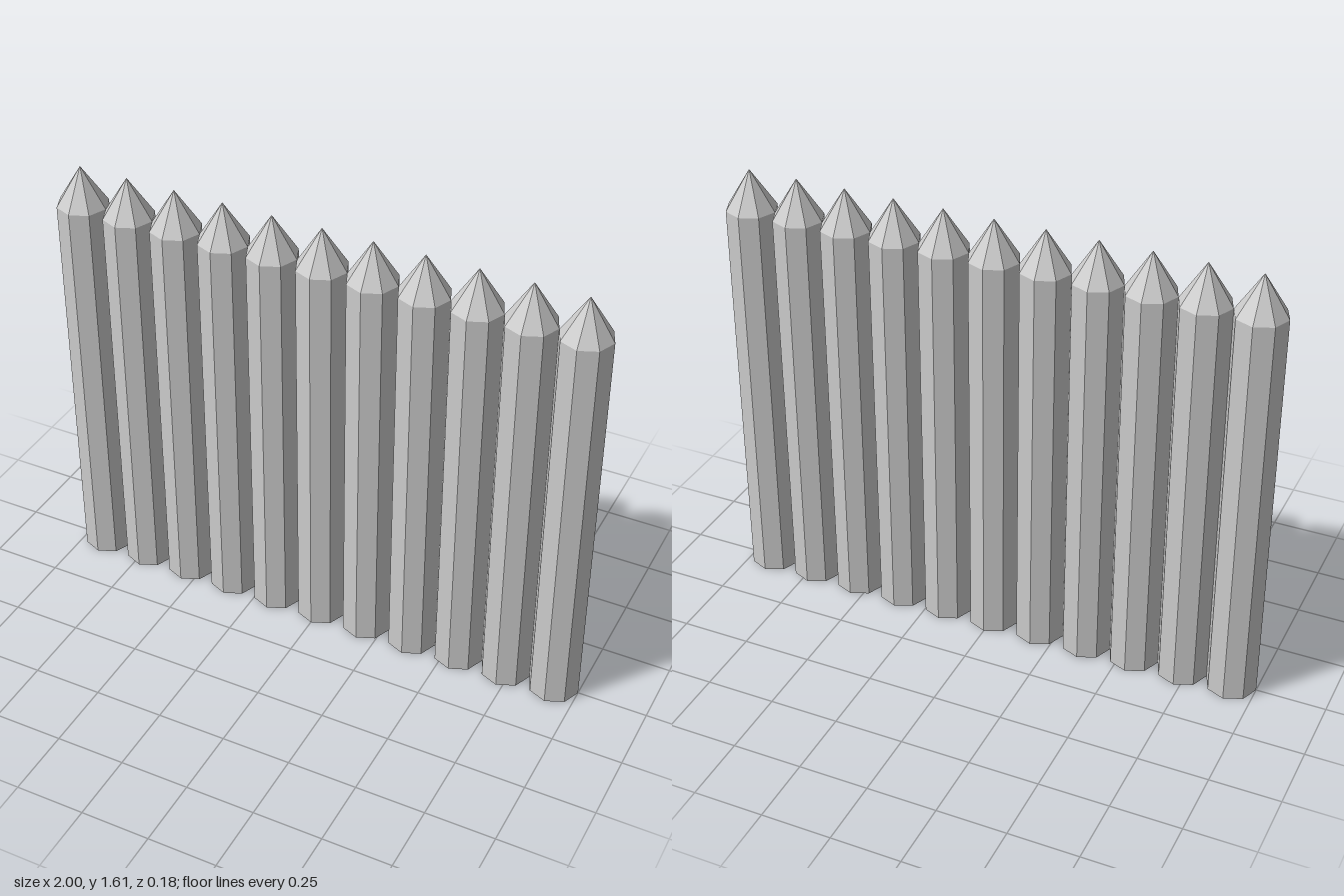
import * as THREE from 'three';

const COUNT = 11;
const RADIUS = 1 / COUNT; // neighbouring posts just touch
const SHOULDER = 1.467;
const HEIGHT = 1.61;
const SIDES = 8;

export function createModel() {
  const palisade = new THREE.Group();
  palisade.name = 'palisade';
  const material = new THREE.MeshStandardMaterial({ color: 0xcccccc, flatShading: true });

  // Octagonal shaft standing on the ground
  const shaftGeometry = new THREE.CylinderGeometry(RADIUS, RADIUS, SHOULDER, SIDES);
  shaftGeometry.translate(0, SHOULDER / 2, 0);

  // Sharpened point, open where it meets the shaft
  const tipHeight = HEIGHT - SHOULDER;
  const tipGeometry = new THREE.ConeGeometry(RADIUS, tipHeight, SIDES, 1, true);
  tipGeometry.translate(0, SHOULDER + tipHeight / 2, 0);

  // Row of identical stakes
  for (let i = 0; i < COUNT; i++) {
    const stake = new THREE.Group();
    stake.name = `stake${i + 1}`;
    stake.position.x = (i - (COUNT - 1) / 2) * 2 * RADIUS;

    const shaft = new THREE.Mesh(shaftGeometry, material);
    shaft.name = 'shaft';
    const tip = new THREE.Mesh(tipGeometry, material);
    tip.name = 'pointedTip';

    stake.add(shaft, tip);
    palisade.add(stake);
  }
  return palisade;
}
